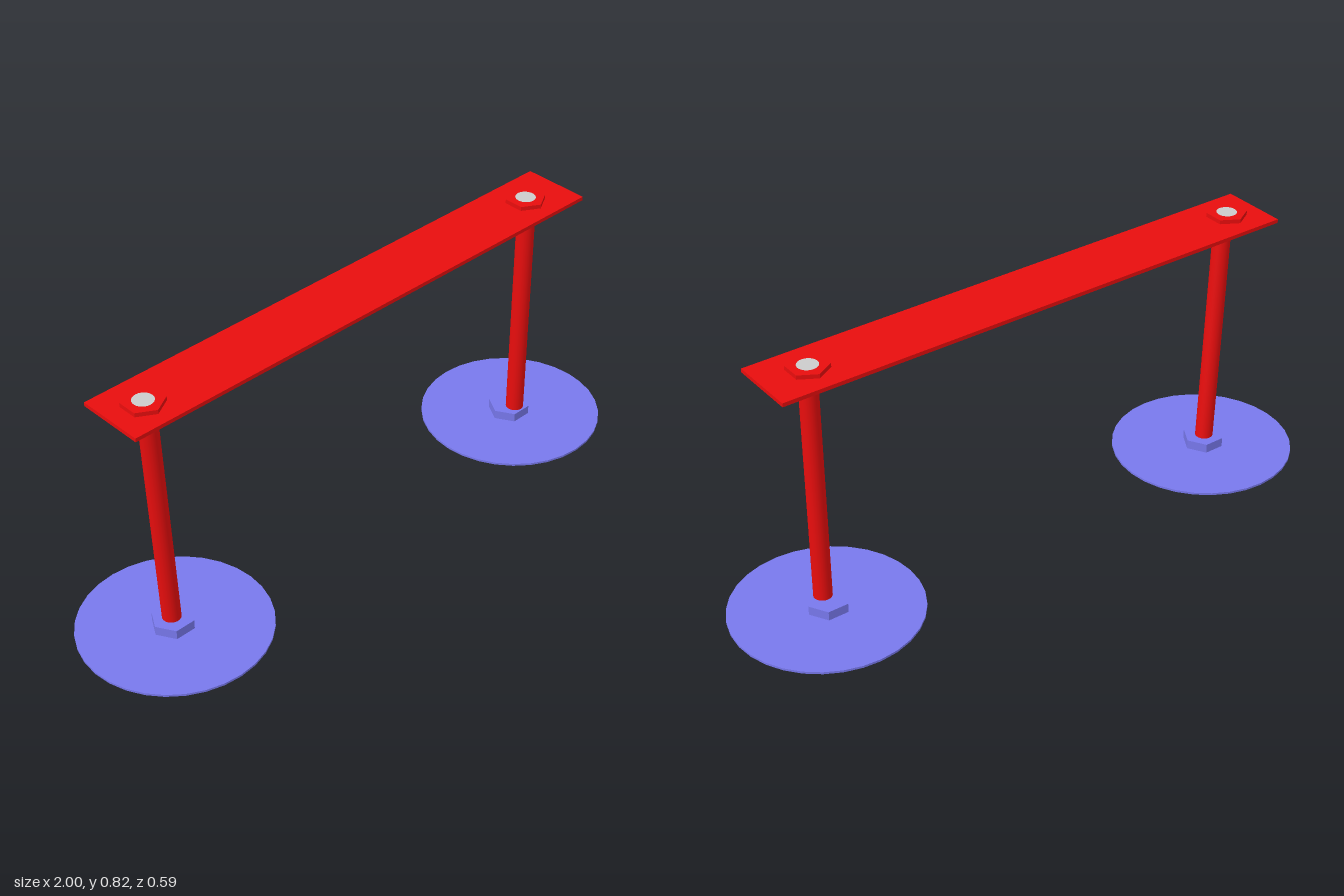
import * as THREE from 'three';

const red = new THREE.MeshStandardMaterial({ color: 0xe80d0d });
const redFlat = new THREE.MeshStandardMaterial({ color: 0xe80d0d, flatShading: true });
const blue = new THREE.MeshStandardMaterial({ color: 0x7878ec, flatShading: true });
const grey = new THREE.MeshStandardMaterial({ color: 0xcccccc });

export function createModel() {
  const group = new THREE.Group();

  const add = (name, geometry, material, x, y, z) => {
    const mesh = new THREE.Mesh(geometry, material);
    mesh.name = name;
    mesh.position.set(x, y, z);
    group.add(mesh);
    return mesh;
  };

  // Upright disc or prism standing on height y
  const prism = (name, material, r, h, sides, [x, y, z], turn = 0) =>
    add(name, new THREE.CylinderGeometry(r, r, h, sides).rotateY(turn), material, x, y + h / 2, z);

  // Hexagonal nut with a round hole, corners pointing along z
  const ringNut = (name, r, hole, h, [x, y, z]) => {
    const shape = new THREE.Shape();
    for (let i = 0; i < 6; i++) {
      const a = (i * Math.PI) / 3;
      shape[i ? 'lineTo' : 'moveTo'](r * Math.sin(a), r * Math.cos(a));
    }
    shape.holes.push(new THREE.Path().absarc(0, 0, hole, 0, Math.PI * 2, true));
    const geometry = new THREE.ExtrudeGeometry(shape, { depth: h, bevelEnabled: false, curveSegments: 24 });
    add(name, geometry.rotateX(-Math.PI / 2), redFlat, x, y, z);
  };

  // Round post between two points
  const post = (name, r, from, to) => {
    const a = new THREE.Vector3(...from), b = new THREE.Vector3(...to);
    const axis = b.clone().sub(a);
    const mid = a.clone().add(b).multiplyScalar(0.5);
    const mesh = add(name, new THREE.CylinderGeometry(r, r, axis.length(), 32), red, mid.x, mid.y, mid.z);
    mesh.quaternion.setFromUnitVectors(new THREE.Vector3(0, 1, 0), axis.normalize());
  };

  // Crossbar plate
  add('crossbar', new THREE.BoxGeometry(1.722, 0.012, 0.213), redFlat, -0.008, 0.805, 0.002);

  // The left post is upright, the right one leans outwards
  const supports = [
    { side: 'left', disc: [0.711, 0.012, -0.009], foot: [0.706, 0.018, -0.01],
      bottom: [0.709, 0.009, 0.012], top: [0.709, 0.802, 0.012], nut: [0.711, 0.811, 0.004] },
    { side: 'right', disc: [-0.713, 0, 0.009], foot: [-0.719, 0.007, 0.008],
      bottom: [-0.719, 0.005, 0.005], top: [-0.77, 0.802, 0.029], nut: [-0.761, 0.811, 0.006] },
  ];
  for (const s of supports) {
    prism(`${s.side}BaseDisc`, blue, 0.287, 0.007, 32, s.disc);
    prism(`${s.side}FootNut`, blue, 0.065, 0.03, 6, s.foot, Math.PI / 6);
    post(`${s.side}Post`, 0.028, s.bottom, s.top);
    ringNut(`${s.side}TopNut`, 0.062, 0.031, 0.013, s.nut);
    prism(`${s.side}BoltEnd`, grey, 0.031, 0.013, 24, s.nut);
  }
  return group;
}
